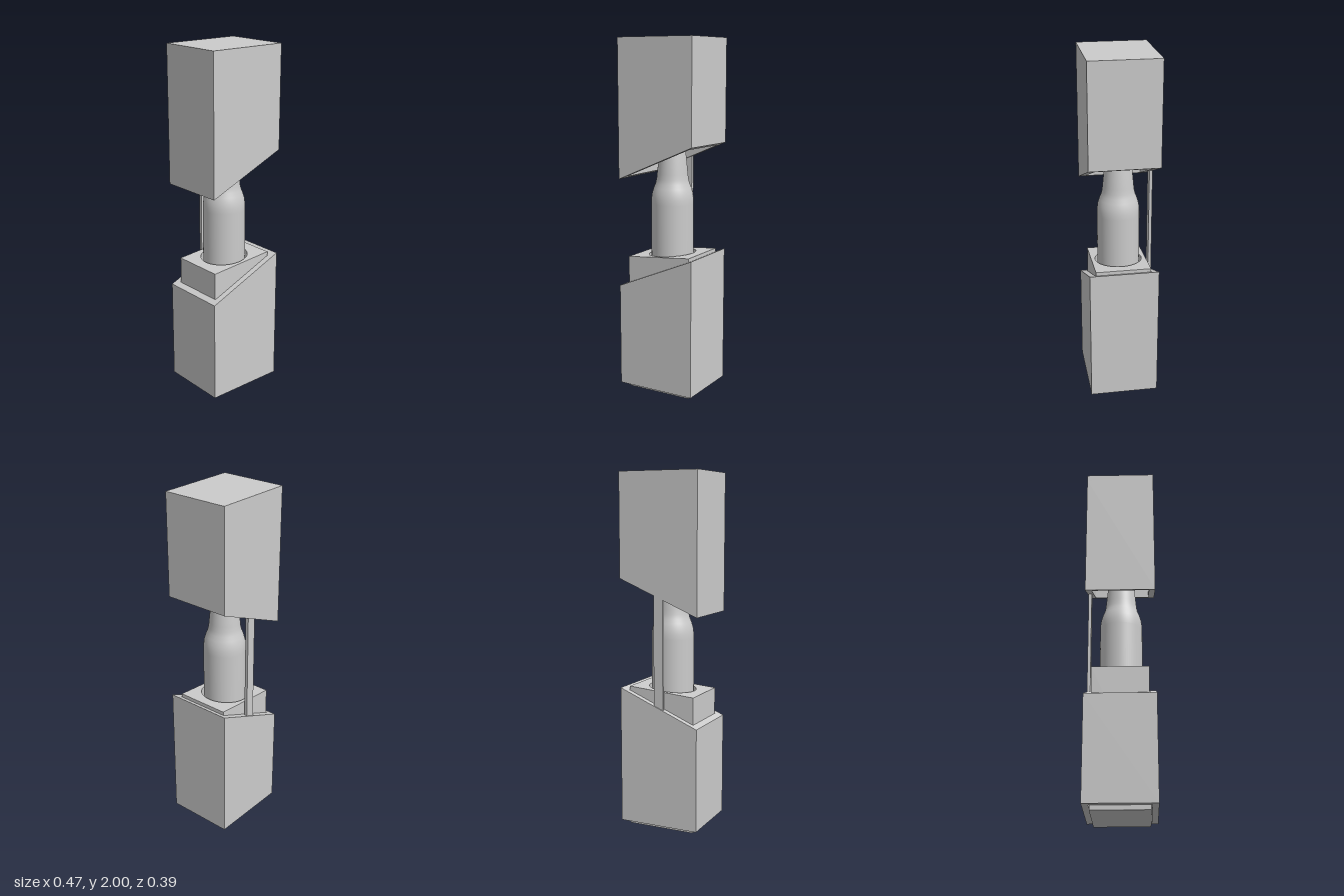
import * as THREE from 'three';

const W = 0.466, D = 0.39, WALL = 0.035;
const material = new THREE.MeshStandardMaterial({ color: 0xcccccc });

function add(group, name, geometry, x = 0, y = 0, z = 0) {
  const mesh = new THREE.Mesh(geometry, material);
  mesh.name = name;
  mesh.position.set(x, y, z);
  group.add(mesh);
  return mesh;
}

function rectangle(w, d) {
  return new THREE.Shape([
    new THREE.Vector2(-w / 2, -d / 2), new THREE.Vector2(w / 2, -d / 2),
    new THREE.Vector2(w / 2, d / 2), new THREE.Vector2(-w / 2, d / 2),
  ]);
}

// Upright prism with a hole; each end is a plane whose height depends on x
function hollowPrism(w, d, hole, bottom, top) {
  const shape = rectangle(w, d);
  shape.holes.push(hole);
  const g = new THREE.ExtrudeGeometry(shape, { depth: 1, bevelEnabled: false, curveSegments: 48 });
  g.rotateX(-Math.PI / 2);
  const p = g.attributes.position;
  for (let i = 0; i < p.count; i++) {
    const x = p.getX(i);
    p.setY(i, p.getY(i) > 0.5 ? top(x) : bottom(x));
  }
  g.computeVertexNormals();
  return g;
}

// Height line running from yLeft at x = -w/2 to yRight at x = +w/2
const slope = (yLeft, yRight, w) => (x) => yLeft + (yRight - yLeft) * (x / w + 0.5);
const level = (y) => () => y;

export function createModel() {
  const model = new THREE.Group();
  model.name = 'bottleGiftBox';
  const opening = () => rectangle(W - 2 * WALL, D - 2 * WALL);

  // Lower sleeve with slanted rim
  add(model, 'baseSleeve', hollowPrism(W, D, opening(), level(0.025), slope(0.61, 0.805, W)));

  // Lid: slanted walls and a top panel
  const lid = new THREE.Group();
  lid.name = 'lid';
  model.add(lid);
  add(lid, 'lidWalls', hollowPrism(W, D, opening(), slope(1.223, 1.42, W), level(1.965)));
  add(lid, 'lidTop', new THREE.BoxGeometry(W, 0.035, D), 0, 1.9825, 0);

  // Insert holding the bottle, poking out below the sleeve
  const iw = 0.392, id = 0.312;
  const well = new THREE.Path().absarc(0, 0, 0.134, 0, Math.PI * 2, true);
  add(model, 'insert', hollowPrism(iw, id, well, level(0.06), slope(0.777, 0.81, iw)));
  add(model, 'insertFloor', new THREE.BoxGeometry(iw, 0.06, id), 0, 0.03, 0);

  // Strap joining base and lid at the back
  add(model, 'strap', new THREE.BoxGeometry(0.055, 0.72, 0.018), 0, 1.02, -0.18);

  // Bottle: smooth body, shoulder and neck
  const body = [
    [0, 0.06], [0.105, 0.06], [0.117, 0.07], [0.12, 0.09], [0.12, 1.08], [0.119, 1.11], [0.115, 1.14],
    [0.106, 1.17], [0.096, 1.195], [0.09, 1.22], [0.087, 1.25], [0.073, 1.39], [0.067, 1.398],
  ];
  const profile = (pts) => pts.map(([r, y]) => new THREE.Vector2(r, y));
  add(model, 'bottle', new THREE.LatheGeometry(profile(body), 64));

  // Rounded lip and flat top
  const lip = [[0.06, 1.396], [0.07, 1.4], [0.075, 1.407], [0.075, 1.43], [0.071, 1.438], [0.062, 1.441], [0, 1.441]];
  add(model, 'bottleLip', new THREE.LatheGeometry(profile(lip), 64));

  return model;
}
